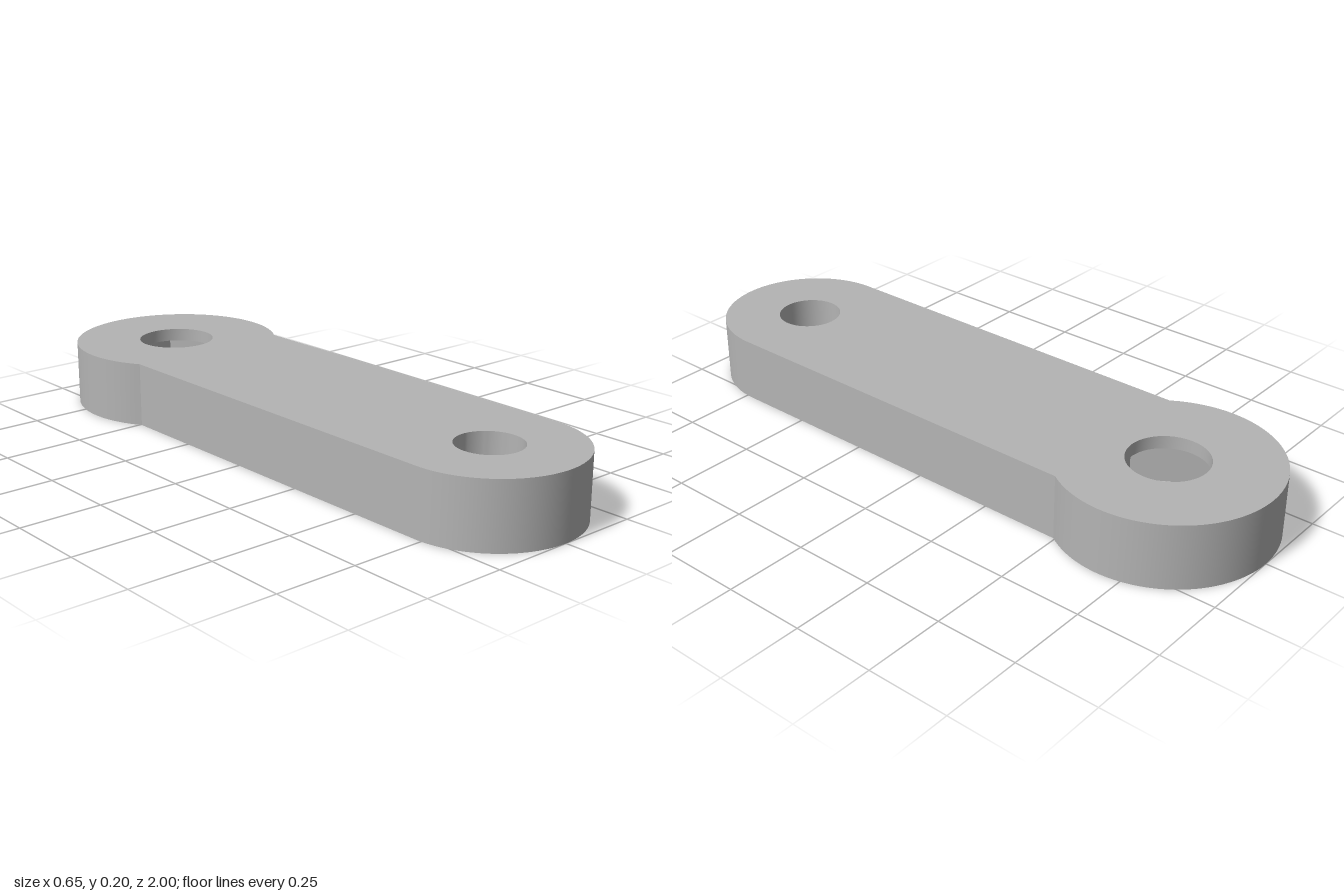
import * as THREE from 'three';
import { mergeGeometries, toCreasedNormals } from 'three/addons/utils/BufferGeometryUtils.js';

const HEIGHT = 0.2, POCKET = 0.16;           // plate thickness, hex pocket depth
const BIG = { y: 0.674, r: 0.326 };          // plan y is -z
const SMALL = { y: -0.728, r: 0.272 };

// Points along an arc in plan, counter-clockwise from a0 to a1
function arc(cy, r, a0, a1, n) {
  return Array.from({ length: n + 1 }, (_, i) => {
    const a = a0 + (a1 - a0) * i / n;
    return new THREE.Vector2(r * Math.cos(a), cy + r * Math.sin(a));
  });
}
const ring = (cy, r, n) => arc(cy, r, 0, Math.PI * 2, n).slice(0, n);

// Flat horizontal face with holes at height y
function face(outline, holes, y, down = false) {
  const shape = new THREE.Shape(outline);
  shape.holes = holes.map(h => new THREE.Path(h));
  const g = new THREE.ShapeGeometry(shape);
  g.deleteAttribute('uv');
  if (down) g.index.array.reverse();
  return toCreasedNormals(g.rotateX(-Math.PI / 2).translate(0, y, 0), 0.5);
}

// Upright wall around a closed loop; an inner wall faces into the loop
function wall(loop, y0, y1, inner = false) {
  const pts = inner ? [...loop].reverse() : loop;
  const pos = [];
  pts.forEach((p, i) => {
    const q = pts[(i + 1) % pts.length];
    pos.push(p.x, y0, -p.y, q.x, y0, -q.y, q.x, y1, -q.y);
    pos.push(p.x, y0, -p.y, q.x, y1, -q.y, p.x, y1, -p.y);
  });
  const g = new THREE.BufferGeometry();
  g.setAttribute('position', new THREE.Float32BufferAttribute(pos, 3));
  return toCreasedNormals(g, 0.5);
}

export function createModel() {
  const group = new THREE.Group();
  const grey = new THREE.MeshStandardMaterial({ color: 0xb4b4b4 });
  grey.name = 'plain grey';

  const add = (name, ...parts) => {
    const mesh = new THREE.Mesh(mergeGeometries(parts), grey);
    mesh.name = name;
    group.add(mesh);
  };

  // Outline: large round head running into a straight arm with a rounded end
  const a = Math.acos(SMALL.r / BIG.r);
  const outline = [
    ...arc(BIG.y, BIG.r, -a, Math.PI + a, 96),
    ...arc(SMALL.y, SMALL.r, Math.PI, Math.PI * 2, 64),
  ];
  const boltHole = ring(BIG.y, 0.12, 64);
  const pinHole = ring(SMALL.y, 0.098, 64);
  const hexagon = ring(BIG.y, 0.232, 6);

  // Arm body: top, underside and outer edge
  add('leverArm',
    face(outline, [boltHole, pinHole], HEIGHT),
    face(outline, [hexagon, pinHole], 0, true),
    wall(outline, 0, HEIGHT));

  // Hexagonal recess in the underside of the head
  add('nutPocket',
    wall(hexagon, 0, POCKET, true),
    face(hexagon, [boltHole], POCKET, true));

  // Round through holes
  add('boltHole', wall(boltHole, POCKET, HEIGHT, true));
  add('pinHole', wall(pinHole, 0, HEIGHT, true));

  return group;
}
